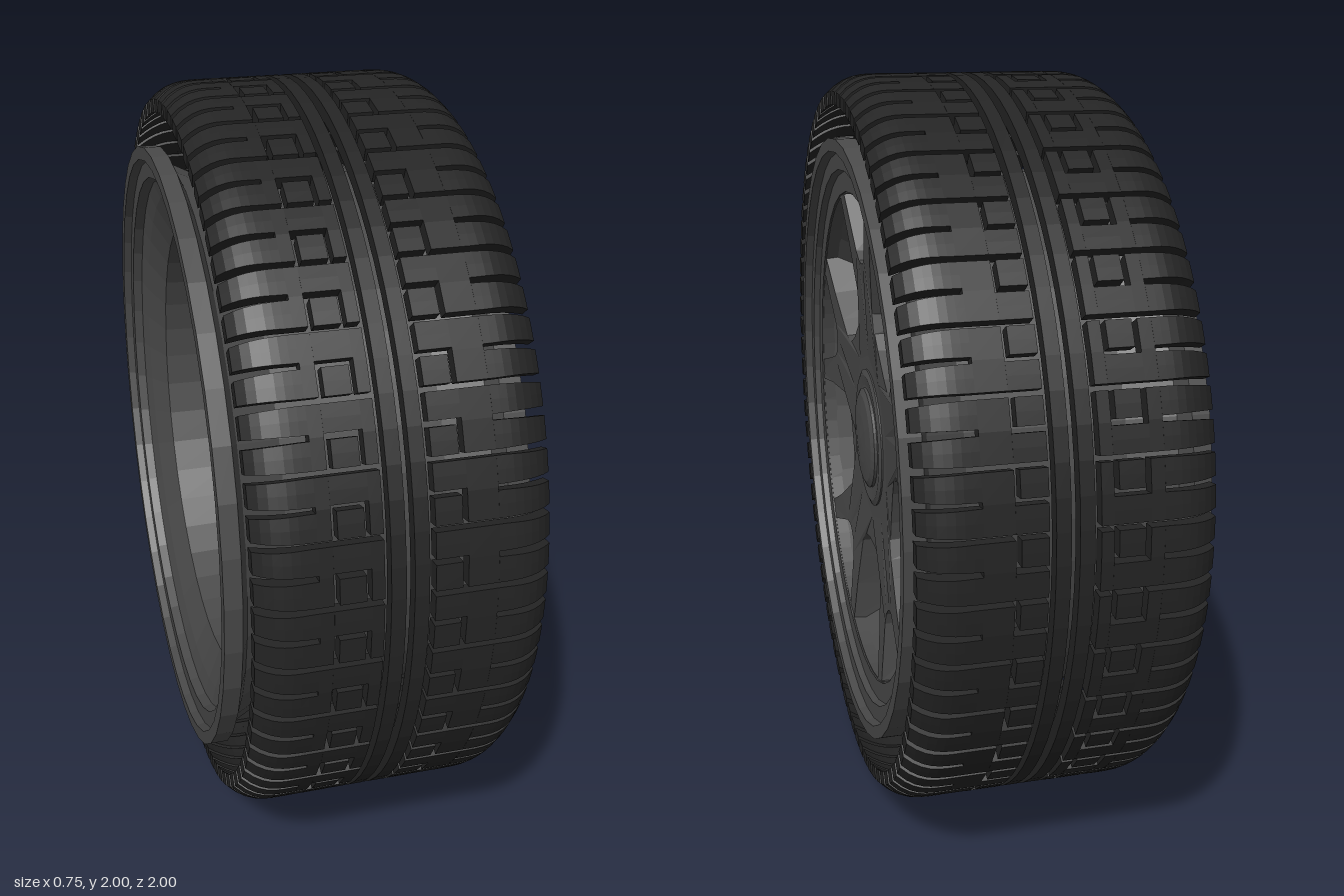
import * as THREE from 'three';
import { mergeGeometries } from 'three/addons/utils/BufferGeometryUtils.js';

const { lerp, clamp, degToRad } = THREE.MathUtils;
const SIDES = 40;
const rubber = new THREE.MeshStandardMaterial({ color: 0x242424, flatShading: true });
const alloy = new THREE.MeshStandardMaterial({ color: 0x4a4a4a, flatShading: true });

function part(name, geometry, material) {
  const mesh = new THREE.Mesh(geometry, material);
  mesh.name = name;
  return mesh;
}

// Box bent around the axle: x range, angle range, with shoulders rolling inwards
function treadBlock(x0, x1, a0, a1, nx = 1, na = 2) {
  const geo = new THREE.BoxGeometry(1, 1, 1, nx, 1, na);
  const p = geo.attributes.position;
  for (let i = 0; i < p.count; i++) {
    const x = lerp(x0, x1, p.getX(i) + 0.5);
    const roll = clamp((Math.abs(x - 0.02) - 0.23) / 0.12, 0, 1);
    const r = p.getY(i) > 0 ? 1 - 0.045 * roll ** 3 : 0.965 - 0.045 * roll * roll;
    const a = (a0 + a1) / 2 - p.getZ(i) * (a1 - a0) * (1 - 0.12 * roll);
    p.setXYZ(i, x, r * Math.sin(a), r * Math.cos(a));
  }
  geo.computeVertexNormals();
  return geo;
}

function createTread() {
  const pitch = (Math.PI * 2) / SIDES, half = pitch / 2, g = 0.007;
  const left = [], right = [];
  for (let i = 0; i < SIDES; i++) {
    const s = (i - 0.5) * pitch;
    const lower = [s + g, s + half - g], upper = [s + half + g, s + pitch - g];
    const full = [s + g, s + pitch - g];
    // +x side: small block, its neighbour, main block, two shoulder teeth
    left.push(
      treadBlock(0.08, 0.144, ...lower),
      treadBlock(0.08, 0.157, ...upper),
      treadBlock(0.157, 0.23, ...full),
      treadBlock(0.23, 0.37, ...lower, 7),
      treadBlock(0.23, 0.37, ...upper, 7));
    // -x side: inner strip, island block, its neighbour, main block, teeth
    right.push(
      treadBlock(-0.07, -0.04, ...full),
      treadBlock(-0.144, -0.082, ...lower),
      treadBlock(-0.157, -0.07, ...upper),
      treadBlock(-0.19, -0.157, ...full),
      treadBlock(-0.33, -0.19, ...lower, 7),
      treadBlock(-0.33, -0.19, ...upper, 7));
  }
  const tread = new THREE.Group();
  tread.name = 'tread';
  tread.add(part('leftTreadBlocks', mergeGeometries(left), rubber));
  tread.add(part('rightTreadBlocks', mergeGeometries(right), rubber));
  for (const [x0, x1] of [[-0.025, 0.01], [0.03, 0.065]]) {
    tread.add(part('centreRib', treadBlock(x0, x1, 0, Math.PI * 2, 1, SIDES * 2), rubber));
  }
  return tread;
}

// Profile of [radius, position along the axle], turned around z
function turned(profile, sides = SIDES) {
  const points = profile.map(([r, w]) => new THREE.Vector2(r, w));
  return new THREE.LatheGeometry(points, sides).rotateX(Math.PI / 2);
}

// One tenth of the spoke face, in [radius, degrees from the spoke's centre line]:
// half a forked spoke, its piece of the outer frame and half a window
function spokeTenth(spokeAngle, side) {
  const outline = [[0.1, 0], [0.24, 0], [0.38, 0], [0.5, 0], [0.505, 3.4], [0.528, 6.5]];
  for (const d of [13.5, 9, 4.5, 0]) outline.push([0.685, d]);
  for (const d of [0, 9, 18, 27, 36]) outline.push([0.715, d]);
  for (const d of [36, 31, 25, 19]) outline.push([0.685, d]);
  outline.push([0.56, 17.2], [0.457, 16.2], [0.396, 15.3], [0.35, 19.4], [0.329, 27.3],
    [0.325, 36], [0.24, 36], [0.1, 36]);
  const shape = new THREE.Shape(outline.map(([r, d]) => {
    const a = degToRad(d);
    return new THREE.Vector2(r * Math.cos(a), r * Math.sin(a));
  }));
  const geo = new THREE.ExtrudeGeometry(shape, { depth: 0.19, bevelEnabled: false });
  if (side < 0) geo.rotateX(Math.PI).translate(0, 0, 0.19);
  const p = geo.attributes.position;
  for (let i = 0; i < p.count; i++) {
    const x = p.getX(i), y = p.getY(i), z = p.getZ(i), r = Math.hypot(x, y);
    let d = Math.abs(Math.atan2(y, x));
    // openings narrow towards the back
    if (z < 0.1 && r > 0.3 && r < 0.7) {
      const mid = d > degToRad(13.8) ? degToRad(36) : 0;
      d = mid + (d - mid) * 0.86;
    }
    // the face is dished towards the hub
    const dish = 0.03 * clamp((0.685 - r) / 0.35, 0, 1);
    const a = spokeAngle + side * d;
    p.setXYZ(i, r * Math.cos(a), r * Math.sin(a), z + 0.14 - dish);
  }
  geo.computeVertexNormals();
  return geo;
}

function createRim() {
  const rim = new THREE.Group();
  rim.name = 'rim';
  // barrel with stepped lips, from the inner flange to the outer one and back through the bore
  rim.add(part('barrel', turned([
    [0.8, -0.375], [0.835, -0.375], [0.835, -0.33], [0.79, -0.31], [0.735, -0.2],
    [0.735, 0.2], [0.79, 0.3], [0.835, 0.32], [0.835, 0.375], [0.8, 0.375],
    [0.795, 0.352], [0.75, 0.352], [0.745, 0.334], [0.69, 0.334], [0.69, 0.3],
    [0.6, 0.17], [0.575, 0.12], [0.605, -0.1], [0.615, -0.27], [0.7, -0.31],
    [0.745, -0.325], [0.75, -0.352], [0.795, -0.352], [0.8, -0.375],
  ]), alloy));
  // five forked spokes from mirrored tenths
  const tenths = [];
  for (let i = 0; i < 5; i++) {
    const angle = Math.PI / 2 + degToRad(72 * i);
    tenths.push(spokeTenth(angle, 1), spokeTenth(angle, -1));
  }
  rim.add(part('spokes', mergeGeometries(tenths), alloy));
  // hub ring and domed cap
  rim.add(part('hubRing', turned([
    [0, 0.08], [0.18, 0.08], [0.22, 0.14], [0.195, 0.29], [0.195, 0.304], [0.18, 0.31], [0.15, 0.306], [0, 0.306],
  ]), alloy));
  rim.add(part('hubCap', turned([
    [0.142, 0.29], [0.142, 0.314], [0.125, 0.322], [0.07, 0.327], [0, 0.329],
  ], 32), alloy));
  rim.rotation.y = Math.PI / 2;
  return rim;
}

export function createModel() {
  const wheel = new THREE.Group();
  wheel.name = 'wheel';
  wheel.add(createTread(), createRim());
  wheel.position.y = 1;
  const model = new THREE.Group();
  model.name = 'wheelModel';
  model.add(wheel);
  return model;
}
